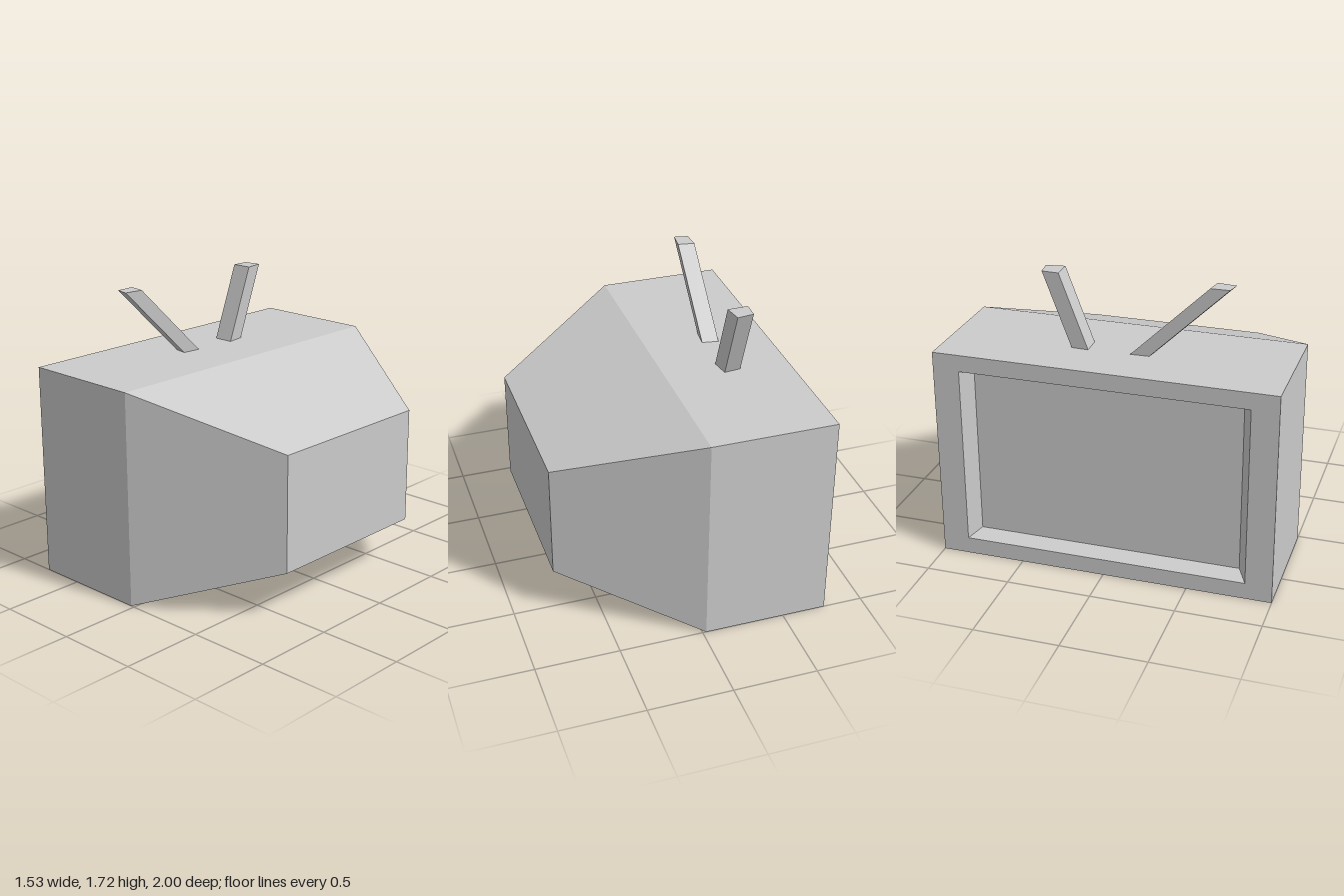
import * as THREE from 'three';

const material = new THREE.MeshStandardMaterial({ color: 0xcccccc, flatShading: true });

// Joins four-cornered rings (counter-clockwise seen from the far end) into a flat-faced solid.
function loft(name, rings) {
  const positions = [];
  const quad = (a, b, c, d) => [a, b, c, a, c, d].forEach((p) => positions.push(...p));
  for (let i = 0; i < rings.length - 1; i++) {
    for (let j = 0; j < 4; j++) {
      const k = (j + 1) % 4;
      quad(rings[i][j], rings[i][k], rings[i + 1][k], rings[i + 1][j]);
    }
  }
  quad(...[...rings[0]].reverse());
  quad(...rings[rings.length - 1]);
  const geometry = new THREE.BufferGeometry();
  geometry.setAttribute('position', new THREE.Float32BufferAttribute(positions, 3));
  geometry.computeVertexNormals();
  const mesh = new THREE.Mesh(geometry, material);
  mesh.name = name;
  return mesh;
}

// Upright rectangle across the x axis
const section = (x, y0, y1, z) => [[x, y0, z], [x, y0, -z], [x, y1, -z], [x, y1, z]];

// Slanted bar: a top outline of [x, z] points, sheared along z down to the cabinet
function antenna(name, outline, lean) {
  const ring = (y, dz) => outline.map(([x, z]) => [x, y, z + dz]);
  return loft(name, [ring(1.28, -lean), ring(1.722, 0)]);
}

export function createModel() {
  const model = new THREE.Group();
  model.name = 'television';

  // Cabinet: sunken screen, sloped recess walls, frame, box and tapered back
  model.add(loft('cabinet', [
    section(-0.673, 0.135, 1.145, 0.788),
    section(-0.763, 0.1, 1.18, 0.843),
    section(-0.763, 0, 1.28, 1),
    section(-0.022, 0, 1.28, 1),
    section(0.763, 0.293, 0.988, 0.543),
  ]));

  // Pair of antennas leaning apart
  model.add(
    antenna('frontAntenna', [[-0.458, 0.64], [-0.374, 0.657], [-0.362, 0.545], [-0.461, 0.529]], 0.455),
    antenna('rearAntenna', [[-0.47, -0.34], [-0.348, -0.342], [-0.366, -0.453], [-0.466, -0.44]], -0.168),
  );
  return model;
}
